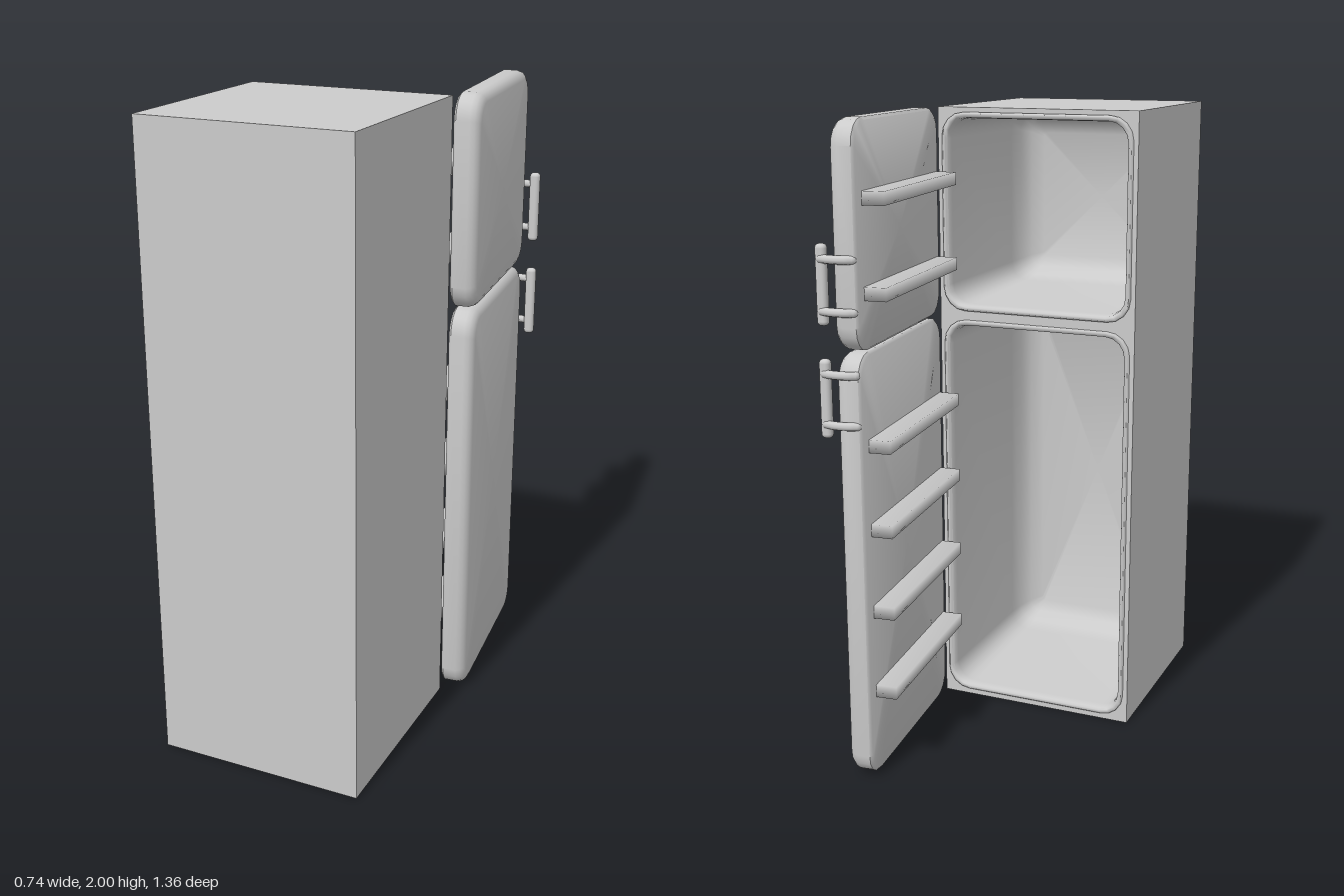
import * as THREE from 'three';
import { mergeVertices, toCreasedNormals } from 'three/addons/utils/BufferGeometryUtils.js';
import { RoundedBoxGeometry } from 'three/addons/geometries/RoundedBoxGeometry.js';

const grey = new THREE.MeshStandardMaterial({ color: 0xcccccc });

function add(parent, name, geometry, x = 0, y = 0, z = 0) {
  const mesh = new THREE.Mesh(geometry, grey);
  mesh.name = name;
  mesh.position.set(x, y, z);
  parent.add(mesh);
  return mesh;
}

// Counter-clockwise rounded rectangle outline centred on the origin
function outline(w, h, r, steps = 4) {
  const pts = [];
  [[1, -1], [1, 1], [-1, 1], [-1, -1]].forEach(([sx, sy], k) => {
    for (let i = 0; i <= steps; i++) {
      const a = (k - 1 + i / steps) * Math.PI / 2;
      pts.push([sx * (w / 2 - r) + r * Math.cos(a), sy * (h / 2 - r) + r * Math.sin(a)]);
    }
  });
  return pts;
}

// Joins inset outlines at successive depths; an inset of null closes to the centre
function loft(w, h, r, rings, crease) {
  const pos = [], index = [];
  let n = 0;
  for (const [inset, z] of rings) {
    const closed = inset === null;
    const pts = outline(w - 2 * (inset || 0), h - 2 * (inset || 0), Math.max(r - (inset || 0) * 0.6, 0.01));
    n = pts.length;
    for (const [x, y] of pts) pos.push(closed ? 0 : x, closed ? 0 : y, z);
  }
  for (let j = 0; j < rings.length - 1; j++) {
    for (let i = 0; i < n; i++) {
      const a = j * n + i, b = j * n + (i + 1) % n;
      if (rings[j][0] !== null) index.push(a, b, b + n);
      if (rings[j + 1][0] !== null) index.push(a, b + n, a + n);
      else index.splice(-1, 1, a + n);
    }
  }
  const g = new THREE.BufferGeometry();
  g.setAttribute('position', new THREE.Float32BufferAttribute(pos, 3));
  g.setIndex(index);
  return toCreasedNormals(g, crease);
}

// Slab with normals blended across its edges
function softBox(w, h, d) {
  let g = new THREE.BoxGeometry(w, h, d);
  g.deleteAttribute('normal');
  g.deleteAttribute('uv');
  g = mergeVertices(g);
  g.computeVertexNormals();
  return g;
}

// Door swung open about its hinge edge, with inner shelves and a handle
function makeDoor(name, bottom, top, shelfTops, handleY) {
  const door = new THREE.Group();
  door.name = name;
  door.position.set(0.29, 0, 0);
  door.rotation.y = 0.1;
  const w = 0.66, h = top - bottom;

  const panel = loft(w, h, 0.075, [
    [null, 0], [0.008, 0], [0, 0.008], [0, 0.05], [0.005, 0.064], [0.014, 0.074], [0.028, 0.08], [null, 0.08]
  ], 0.8);
  panel.rotateY(Math.PI / 2);
  add(door, name + 'Panel', panel, 0, (bottom + top) / 2, -w / 2);

  for (const y of shelfTops) add(door, 'doorShelf', softBox(0.07, 0.04, 0.595), -0.031, y - 0.02, -0.315);

  // Handle bar carried on two bent posts from the free edge of the door
  add(door, 'handleBar', new RoundedBoxGeometry(0.034, 0.235, 0.03, 3, 0.013), 0.113, handleY, -0.648);
  for (const dy of [-0.075, 0.075]) {
    const path = new THREE.CatmullRomCurve3([
      new THREE.Vector3(0.015, 0, -0.656), new THREE.Vector3(0.035, 0, -0.664),
      new THREE.Vector3(0.085, 0, -0.664), new THREE.Vector3(0.118, 0, -0.652)
    ]);
    add(door, 'handlePost', new THREE.TubeGeometry(path, 10, 0.013, 8), 0, handleY + dy, 0);
    add(door, 'handlePostEnd', new THREE.SphereGeometry(0.013, 8, 6), 0.015, handleY + dy, -0.656);
  }
  return door;
}

export function createModel() {
  const model = new THREE.Group();
  model.name = 'refrigerator';

  const left = -0.375, right = 0.29, cx = (left + right) / 2;
  const compartments = [
    { name: 'freezer', y0: 1.355, y1: 1.985 },
    { name: 'fridge', y0: 0.02, y1: 1.325 }
  ];

  // Cabinet shell with two openings, closed by a back panel
  const shell = new THREE.Shape([
    new THREE.Vector2(left, 0), new THREE.Vector2(right, 0),
    new THREE.Vector2(right, 2), new THREE.Vector2(left, 2)
  ]);
  const cw = right - left - 0.03;
  for (const { y0, y1 } of compartments) {
    const pts = outline(cw - 0.01, y1 - y0 - 0.01, 0.07);
    shell.holes.push(new THREE.Path(pts.map(([x, y]) => new THREE.Vector2(x + cx, y + (y0 + y1) / 2))));
  }
  add(model, 'cabinet', new THREE.ExtrudeGeometry(shell, { depth: 0.665, bevelEnabled: false }), 0, 0, 0.005);
  add(model, 'cabinetBack', new THREE.BoxGeometry(right - left, 2, 0.005), cx, 1, 0.6725);

  // Raised rim and smooth hollow liner of each compartment
  for (const { name, y0, y1 } of compartments) {
    const liner = loft(cw, y1 - y0, 0.075, [
      [0, -0.007], [0, 0], [0.004, 0.003], [0.012, 0.003], [0.017, -0.004], [0.02, -0.03],
      [0.024, -0.5], [0.034, -0.56], [0.06, -0.6], [0.1, -0.62], [null, -0.62]
    ], 1.2);
    liner.rotateY(Math.PI);
    add(model, name + 'Liner', liner, cx, (y0 + y1) / 2, 0);
  }

  model.add(makeDoor('upperDoor', 1.342, 2, [1.8, 1.53], 1.537));
  model.add(makeDoor('lowerDoor', 0.003, 1.337, [1.08, 0.82, 0.56, 0.3], 1.205));
  return model;
}
